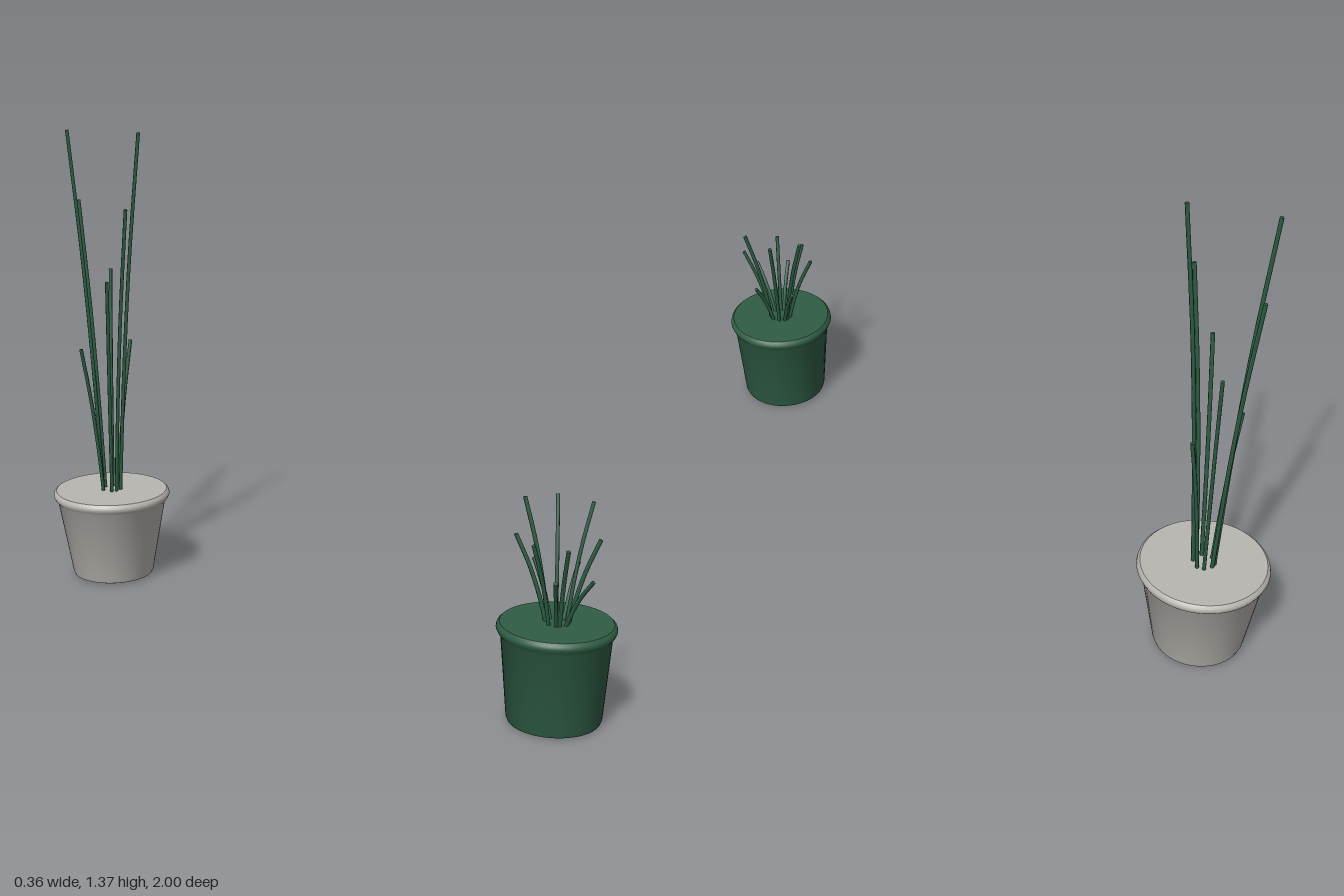
import * as THREE from 'three';
import { toCreasedNormals } from 'three/addons/utils/BufferGeometryUtils.js';

const material = (name, color) => {
  const m = new THREE.MeshStandardMaterial({ color });
  m.name = name;
  return m;
};

const TOP = 0.27;

// Tapered pot with a rolled rim and a closed top
function makePot(name, baseR, neckR, rimR, mat) {
  const profile = [
    [0, 0], [baseR - 0.014, 0], [baseR - 0.004, 0.004], [baseR, 0.014],
    [neckR, 0.235], [rimR - 0.004, 0.246], [rimR, 0.255],
    [rimR - 0.002, 0.263], [rimR - 0.009, TOP], [0, TOP],
  ].map(([x, y]) => new THREE.Vector2(x, y));
  const geometry = toCreasedNormals(new THREE.LatheGeometry(profile, 48), 0.7);
  const pot = new THREE.Mesh(geometry, mat);
  pot.name = name;
  return pot;
}

// Thin stem leaning outward from the pot centre, steeper at its foot
function makeStem(x, z, height, mat) {
  const foot = 0.028 / Math.hypot(x, z);
  const at = (t, k) => new THREE.Vector3(
    x * (foot + (1 - foot) * k), TOP - 0.01 + (height - TOP + 0.01) * t, z * (foot + (1 - foot) * k));
  const curve = new THREE.CatmullRomCurve3([at(0, 0), at(0.33, 0.24), at(0.66, 0.56), at(1, 1)]);
  const group = new THREE.Group();
  const tube = new THREE.Mesh(new THREE.TubeGeometry(curve, 10, 0.0055, 6), mat);
  tube.name = 'stemTube';
  // Small cap closing the tip
  const cap = new THREE.Mesh(new THREE.CircleGeometry(0.0055, 6), mat);
  cap.name = 'stemTip';
  cap.position.copy(curve.getPoint(1));
  cap.quaternion.setFromUnitVectors(new THREE.Vector3(0, 0, 1), curve.getTangent(1));
  group.add(tube, cap);
  group.name = 'stem';
  return group;
}

function makePlant(name, z, pot, tips, mat) {
  const plant = new THREE.Group();
  plant.name = name;
  plant.position.z = z;
  plant.add(pot);
  for (const [tx, tz, h] of tips) plant.add(makeStem(tx, tz, h, mat));
  return plant;
}

export function createModel() {
  const grey = material('pale grey', 0xb8b6b0);
  const green = material('pot green', 0x2f5d45);
  const leaf = material('stem green', 0x2d5c43);

  // Stem tips: x, z relative to the pot, height
  const tallTips = [
    [0.094, 0, 0.725], [0.056, 0.096, 1.37], [-0.024, 0.12, 1.155], [-0.068, 0.079, 0.94],
    [-0.091, -0.018, 0.725], [-0.044, -0.105, 1.37], [0.004, -0.116, 1.155], [0.078, -0.064, 0.94],
  ];
  const shortTips = [
    [0.09, 0, 0.41], [0.084, 0.042, 0.58], [0.058, 0.085, 0.495], [-0.016, 0.116, 0.41],
    [-0.069, 0.075, 0.495], [-0.086, 0.05, 0.41], [-0.09, -0.016, 0.495],
    [-0.044, -0.104, 0.495], [0.005, -0.114, 0.58], [0.038, -0.104, 0.41], [0.08, -0.065, 0.58],
  ];

  const model = new THREE.Group();
  model.name = 'pottedPlants';
  model.add(
    makePlant('tallPlant', -0.822, makePot('greyPot', 0.124, 0.164, 0.178, grey), tallTips, leaf),
    makePlant('shortPlant', 0.845, makePot('greenPot', 0.124, 0.143, 0.155, green), shortTips, leaf),
  );
  return model;
}
